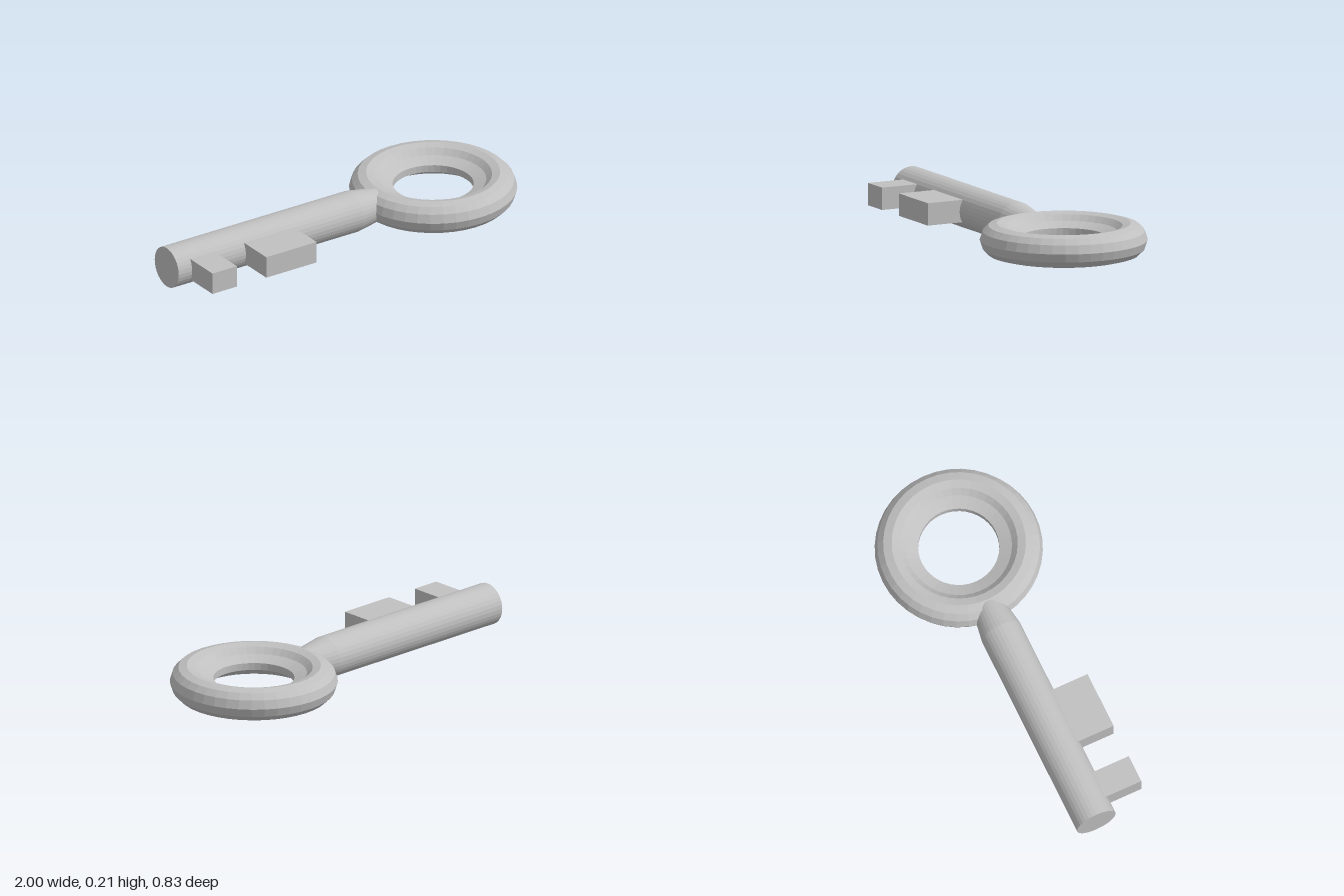
import * as THREE from 'three';

export function createModel() {
  const group = new THREE.Group();
  group.name = 'key';
  const metal = new THREE.MeshStandardMaterial({ color: 0xc0c0c0, flatShading: true });
  metal.name = 'grey metal';
  const midY = 0.107;

  const add = (name, geometry, x, y, z) => {
    const mesh = new THREE.Mesh(geometry, metal);
    mesh.name = name;
    mesh.position.set(x, y, z);
    group.add(mesh);
  };

  // Round shaft lying along x, with a tapered neck running into the ring
  const rod = (name, x0, x1, r0, r1) => {
    const geometry = new THREE.CylinderGeometry(r1, r0, x1 - x0, 32);
    geometry.rotateZ(-Math.PI / 2);
    add(name, geometry, (x0 + x1) / 2, midY, 0);
  };
  rod('shaft', -1, 0.1, 0.105, 0.105);
  rod('neck', 0.1, 0.28, 0.105, 0.076);

  // Ring handle: rounded rim with a thinner inner lip, mirrored top to bottom
  const upper = [
    [0.4, 0.043], [0.372, 0.071], [0.33, 0.082],
    [0.29, 0.071], [0.262, 0.043], [0.2, 0.018],
  ];
  const lower = upper.map(([r, y]) => [r, -y]).reverse();
  const profile = [...lower, [0.414, 0], ...upper, lower[0]]
    .map(([r, y]) => new THREE.Vector2(r, y));
  add('ringHandle', new THREE.LatheGeometry(profile, 40), 0.586, midY, 0);

  // Two teeth on the front side of the shaft
  for (const [name, x0, x1] of [['tipTooth', -0.92, -0.775], ['wideTooth', -0.6, -0.3]]) {
    add(name, new THREE.BoxGeometry(x1 - x0, 0.112, 0.205), (x0 + x1) / 2, 0.11, 0.18);
  }
  return group;
}
